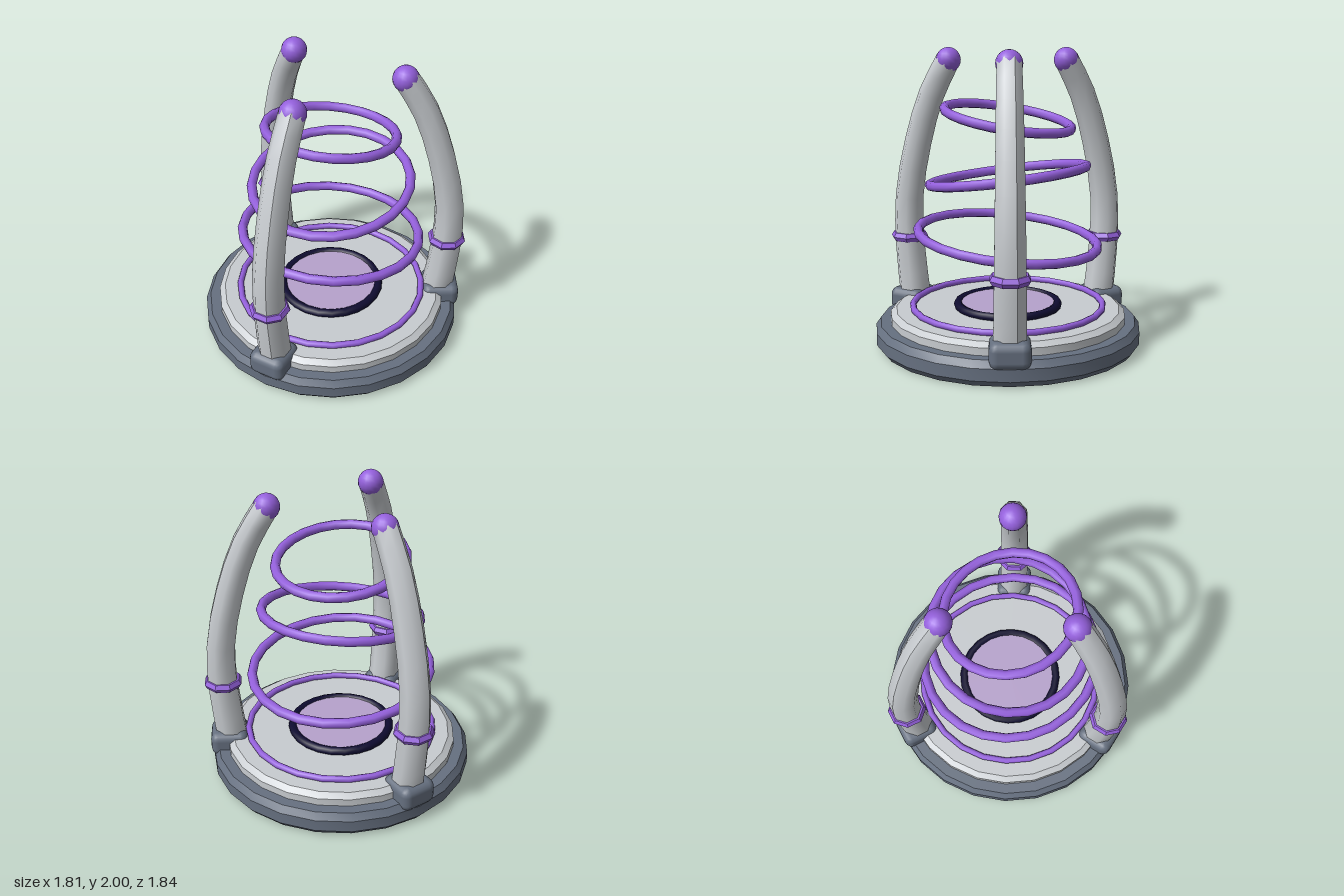
import * as THREE from 'three';
import { toCreasedNormals } from 'three/addons/utils/BufferGeometryUtils.js';
import { RoundedBoxGeometry } from 'three/addons/geometries/RoundedBoxGeometry.js';

const material = (name, color) => {
  const m = new THREE.MeshStandardMaterial({ color });
  m.name = name;
  return m;
};

export function createModel() {
  const slate = material('slate', 0x667080);
  const steel = material('pale steel', 0xc8ccd0);
  const purple = material('purple', 0x9460dc);
  const navy = material('navy', 0x0e0b30);
  const lilac = material('lilac', 0xb6a2cc);

  const model = new THREE.Group();
  model.name = 'hoopPlatform';
  model.position.z = -0.01;

  const add = (parent, name, geometry, mat, x = 0, y = 0, z = 0) => {
    const mesh = new THREE.Mesh(geometry, mat);
    mesh.name = name;
    mesh.position.set(x, y, z);
    parent.add(mesh);
    return mesh;
  };
  const lathe = (points) => toCreasedNormals(
    new THREE.LatheGeometry(points.map(([r, y]) => new THREE.Vector2(r, y)), 24), 0.5);
  const hoop = (parent, name, radius, tube, mat, y, tilt = 0) => {
    const geometry = new THREE.TorusGeometry(radius, tube, 8, 24).rotateX(Math.PI / 2);
    const mesh = add(parent, name, geometry, mat, 0, y, 0);
    mesh.rotation.x = tilt;
    return mesh;
  };

  // Two-tier round base with chamfered rims
  add(model, 'base', lathe([[0, 0], [0.875, 0], [0.907, 0.04], [0.907, 0.12], [0.875, 0.165], [0, 0.165]]), slate);
  add(model, 'deck', lathe([[0.805, 0.155], [0.805, 0.215], [0.765, 0.244], [0, 0.244]]), steel);

  // Deck trim and glowing centre pad
  hoop(model, 'deckRing', 0.652, 0.022, purple, 0.262);
  hoop(model, 'padRim', 0.342, 0.03, navy, 0.26);
  add(model, 'pad', new THREE.CylinderGeometry(0.32, 0.32, 0.04, 24), lilac, 0, 0.256, 0);

  // Floating hoops, tilted alternately
  [[0.612, 0.732, -0.11], [0.532, 1.155, 0.14], [0.428, 1.54, -0.18]].forEach(([r, y, tilt], i) =>
    hoop(model, `floatingHoop${i + 1}`, r, 0.033, purple, y, tilt));

  // Curved tapering leg: an eight-sided cylinder bent along a path in the y-z plane
  const path = new THREE.CatmullRomCurve3([
    [0.18, 0.765], [0.58, 0.808], [0.94, 0.808], [1.34, 0.725], [1.68, 0.605], [1.92, 0.465],
  ].map(([y, z]) => new THREE.Vector3(0, y, z)));
  const legGeometry = new THREE.CylinderGeometry(1, 1, 1, 8, 10, true, Math.PI / 8);
  const pos = legGeometry.attributes.position;
  for (let i = 0; i < pos.count; i++) {
    const t = THREE.MathUtils.clamp(pos.getY(i) + 0.5, 0, 1);
    const p = path.getPoint(t);
    const d = path.getTangent(t);
    const r = THREE.MathUtils.lerp(0.112, 0.084, t);
    const side = pos.getX(i) * r;
    const out = pos.getZ(i) * r;
    pos.setXYZ(i, side, p.y - d.z * out, p.z + d.y * out);
  }
  legGeometry.computeVertexNormals();

  const bandGeometry = toCreasedNormals(
    new THREE.TorusGeometry(0.1, 0.034, 6, 8).rotateX(Math.PI / 2).rotateY(Math.PI / 8), 0.6);
  const footGeometry = new RoundedBoxGeometry(0.26, 0.175, 0.26, 2, 0.055);
  const tipGeometry = new THREE.SphereGeometry(0.086, 16, 12);

  // Three legs, one at the front and two at the back
  ['front', 'backLeft', 'backRight'].forEach((name, i) => {
    const leg = new THREE.Group();
    leg.name = `${name}Leg`;
    leg.rotation.y = (i * Math.PI * 2) / 3;
    add(leg, 'legPost', legGeometry, steel);
    add(leg, 'legFoot', footGeometry, slate, 0, 0.192, 0.788);
    add(leg, 'legBand', bandGeometry, purple, 0, 0.653, 0.81);
    add(leg, 'legTip', tipGeometry, purple, 0, 1.914, 0.465);
    model.add(leg);
  });

  return model;
}
